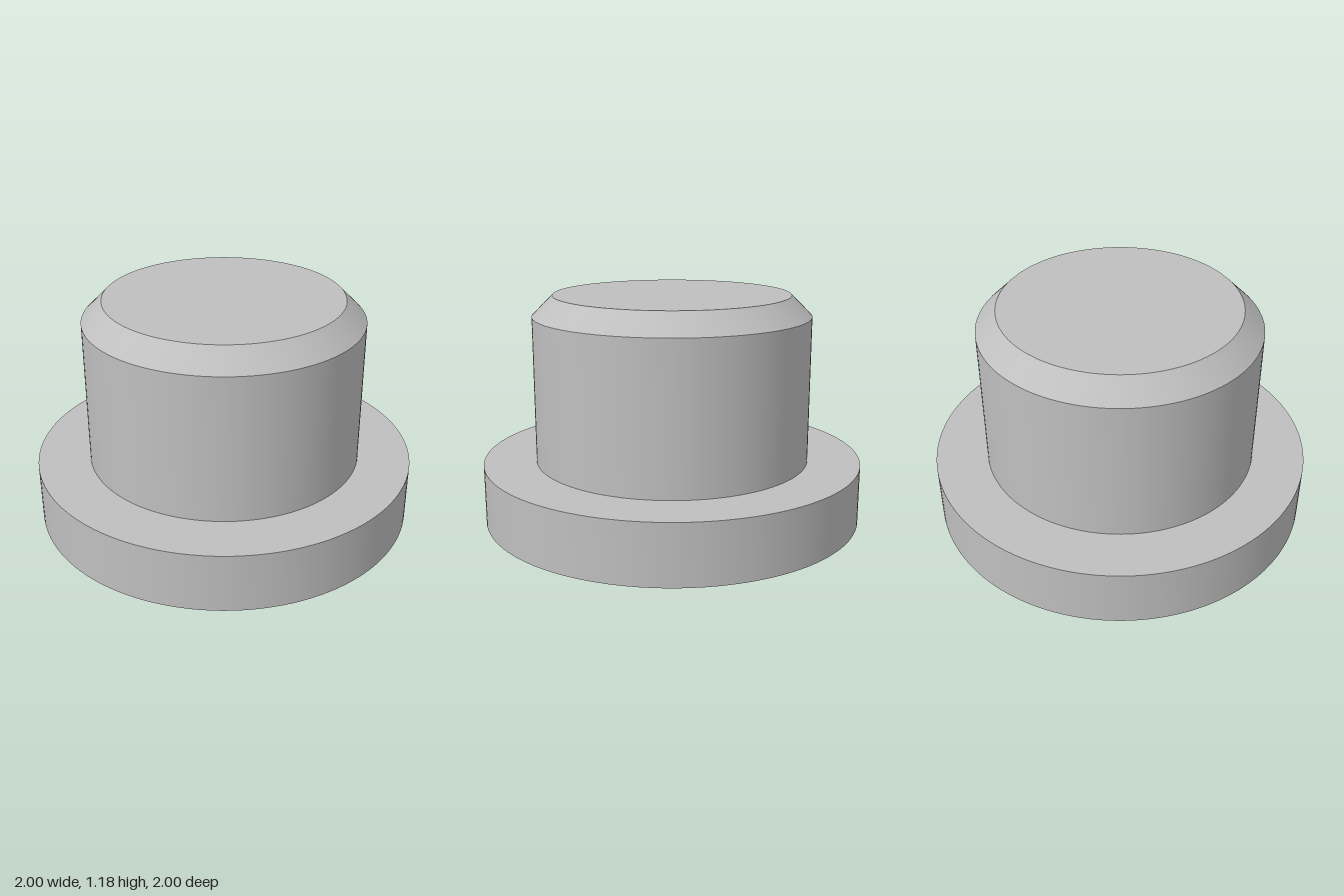
import * as THREE from 'three';
import { toCreasedNormals } from 'three/addons/utils/BufferGeometryUtils.js';

const SEGMENTS = 128;

// Revolve a bottom-to-top [radius, height] profile, keeping its corners sharp
function turnedPart(name, profile, material) {
  const points = profile.map(([r, y]) => new THREE.Vector2(r, y));
  const geometry = toCreasedNormals(new THREE.LatheGeometry(points, SEGMENTS), Math.PI / 6);
  const mesh = new THREE.Mesh(geometry, material);
  mesh.name = name;
  return mesh;
}

export function createModel() {
  const group = new THREE.Group();
  group.name = 'flangedPlug';

  const grey = new THREE.MeshStandardMaterial({ color: 0xbfbfbf });
  grey.name = 'plain grey';

  const flangeRadius = 1, flangeTop = 0.312;
  const bodyRadius = 0.725, bodyTop = 1.078;
  const capRadius = 0.618, capTop = 1.185;

  group.add(
    // Wide base disc, with its underside and the ledge around the body
    turnedPart('flange', [[0, 0], [flangeRadius, 0], [flangeRadius, flangeTop], [bodyRadius, flangeTop]], grey),
    // Straight cylindrical wall
    turnedPart('body', [[bodyRadius, flangeTop], [bodyRadius, bodyTop]], grey),
    // Bevelled rim and flat top
    turnedPart('chamferedTop', [[bodyRadius, bodyTop], [capRadius, capTop], [0, capTop]], grey)
  );
  return group;
}
